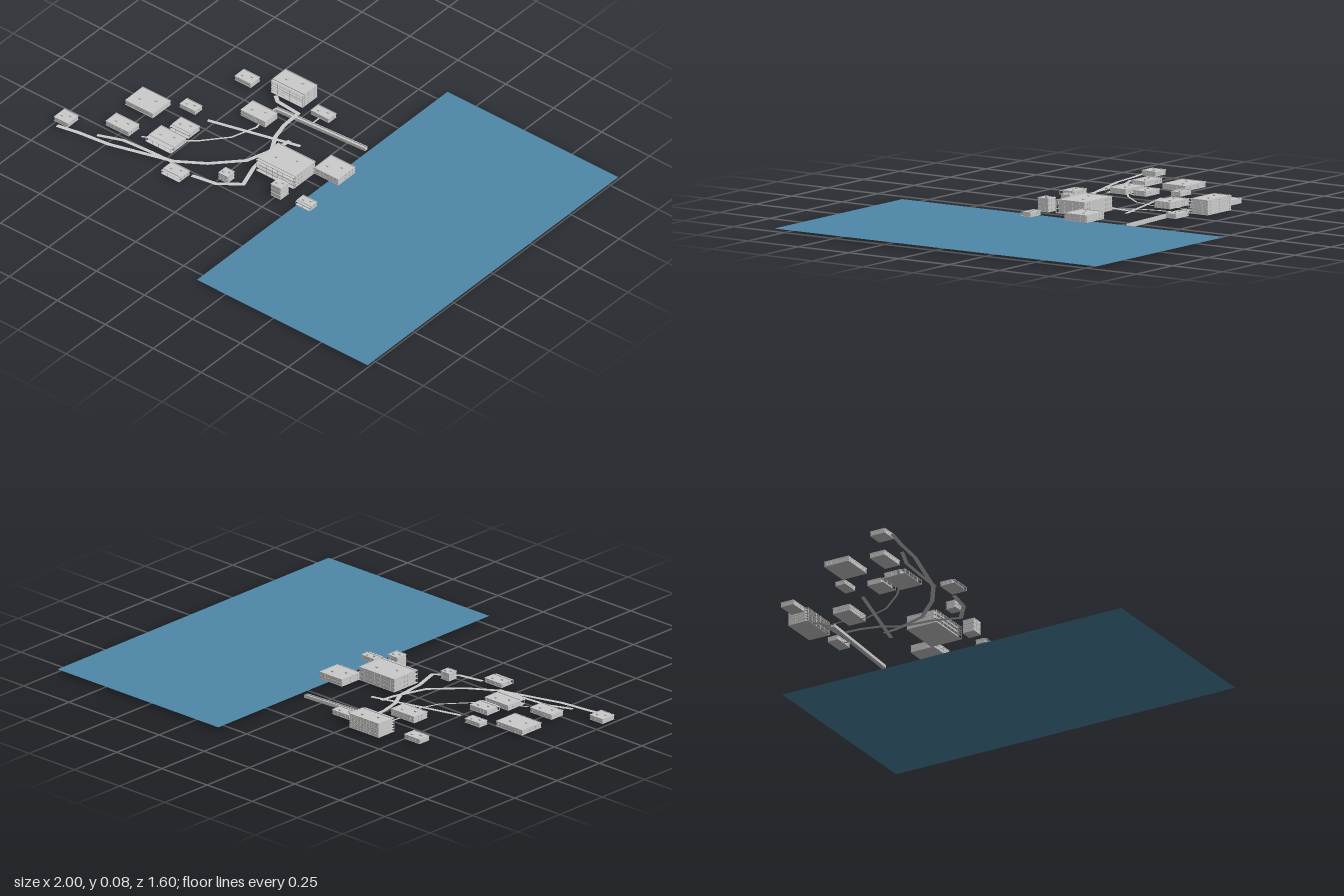
import * as THREE from 'three';
import { mergeGeometries } from 'three/addons/utils/BufferGeometryUtils.js';

const grey = new THREE.MeshStandardMaterial({ color: 0xcccccc, side: THREE.DoubleSide });
const blue = new THREE.MeshStandardMaterial({ color: 0x4f88a9, side: THREE.DoubleSide });
const GROUND = 0.013;

// Box from its lower and upper corners
function box(x0, x1, y0, y1, z0, z1) {
  const g = new THREE.BoxGeometry(x1 - x0, y1 - y0, z1 - z0);
  g.translate((x0 + x1) / 2, (y0 + y1) / 2, (z0 + z1) / 2);
  return g;
}

function part(name, geometries, material = grey) {
  const mesh = new THREE.Mesh(mergeGeometries(geometries), material);
  mesh.name = name;
  return mesh;
}

// Flat strip along a path of [x, z] points, with mitred corners
function ribbon(points, width, y) {
  const path = points.map(([x, z]) => new THREE.Vector2(x, z));
  const pos = [], index = [];
  path.forEach((p, i) => {
    const a = path[Math.max(i - 1, 0)], b = path[Math.min(i + 1, path.length - 1)];
    const u = p.clone().sub(a).normalize(), v = b.clone().sub(p).normalize();
    const t = u.add(v).normalize();
    const along = b.clone().sub(i < path.length - 1 ? p : a).normalize();
    const half = width / 2 / Math.max(0.6, t.dot(along));
    pos.push(p.x - t.y * half, y, p.y + t.x * half, p.x + t.y * half, y, p.y - t.x * half);
    if (i) {
      const k = i * 2;
      index.push(k - 2, k, k - 1, k - 1, k, k + 1);
    }
  });
  const g = new THREE.BufferGeometry();
  g.setAttribute('position', new THREE.Float32BufferAttribute(pos, 3));
  g.setIndex(index);
  g.computeVertexNormals();
  return g;
}

// Flat-roofed building: walls, windows, parapet, roof units and a front gallery
function building({ name, x, z, top, floors = 1, porch = 0 }) {
  const group = new THREE.Group();
  group.name = name;
  const [x0, x1] = x, [z0, zFront] = z;
  const z1 = zFront - porch, w = x1 - x0, d = z1 - z0;
  const roof = top - 0.006, h = (roof - GROUND) / floors, e = 0.0015;
  group.add(part('walls', [box(x0 + e, x1 - e, GROUND, roof, z0 + e, z1 - e)]));

  const windows = [], slabs = [], gallery = [];
  const nx = Math.max(2, Math.round(w / 0.017)), nz = Math.max(2, Math.round(d / 0.02));
  for (let f = 0; f < floors; f++) {
    const y0 = GROUND + h * (f + 0.3), y1 = GROUND + h * (f + 0.78);
    for (let i = 0; i < nx; i++) {
      const c = x0 + w * (i + 0.5) / nx;
      for (const face of [z0 + e, z1 - e])
        windows.push(box(c - 0.0045, c + 0.0045, y0, y1, face - 0.001, face + 0.001));
    }
    for (let i = 0; i < nz; i++) {
      const c = z0 + d * (i + 0.5) / nz;
      for (const face of [x0 + e, x1 - e])
        windows.push(box(face - 0.001, face + 0.001, y0, y1, c - 0.0045, c + 0.0045));
    }
    const y = GROUND + h * f;
    slabs.push(box(x0, x1, y, y + 0.0015, z0, z1));
    if (porch) {
      gallery.push(box(x0, x1, y, y + 0.0015, z1, zFront));
      if (f) gallery.push(box(x0, x1, y + h * 0.4, y + h * 0.4 + 0.001, zFront - 0.001, zFront));
    }
  }
  if (porch) {
    const n = Math.max(2, Math.round(w / 0.03));
    for (let i = 0; i <= n; i++) {
      const c = x0 + 0.001 + (w - 0.002) * i / n;
      gallery.push(box(c - 0.001, c + 0.001, GROUND, roof, zFront - 0.002, zFront));
    }
    gallery.push(box(x0, x1, roof - 0.001, roof, z1, zFront));
    group.add(part('frontGallery', gallery));
  }
  group.add(part('windows', windows), part('floorSlabs', slabs));

  // Roof slab with a low rim
  const rim = roof + 0.003, t = 0.002;
  group.add(part('roofAndParapet', [
    box(x0, x1, roof - 0.001, roof + 0.0005, z0, z1),
    box(x0, x1, roof, rim, z0, z0 + t), box(x0, x1, roof, rim, z1 - t, z1),
    box(x0, x0 + t, roof, rim, z0, z1), box(x1 - t, x1, roof, rim, z0, z1),
  ]));
  const units = [[0.28, 0.6], [0.7, 0.35]].map(([u, v]) => {
    const cx = x0 + w * u, cz = z0 + d * v;
    return box(cx - 0.005, cx + 0.005, roof, top, cz - 0.004, cz + 0.004);
  });
  group.add(part('roofUnits', units));
  return group;
}

export function createModel() {
  const model = new THREE.Group();

  // Open water
  const water = part('water', [new THREE.PlaneGeometry(0.89, 1.6).rotateX(-Math.PI / 2)], blue);
  water.position.set(0.555, 0.012, 0);
  model.add(water);

  // Town buildings
  [
    { name: 'hotel', x: [-0.44, -0.275], z: [-0.44, -0.345], top: 0.078, floors: 5, porch: 0.012 },
    { name: 'northWestHouse', x: [-0.605, -0.52], z: [-0.375, -0.315], top: 0.037 },
    { name: 'northHouse', x: [-0.225, -0.13], z: [-0.385, -0.335], top: 0.036 },
    { name: 'schoolBlock', x: [-0.44, -0.31], z: [-0.23, -0.15], top: 0.044, floors: 2 },
    { name: 'smallWestHouse', x: [-0.663, -0.582], z: [-0.083, -0.035], top: 0.035 },
    { name: 'westHall', x: [-0.845, -0.7], z: [-0.025, 0.09], top: 0.039 },
    { name: 'middleHouse', x: [-0.6, -0.503], z: [0.03, 0.105], top: 0.038, porch: 0.012 },
    { name: 'marketHall', x: [-0.627, -0.495], z: [0.125, 0.225], top: 0.039, porch: 0.02 },
    { name: 'southWestHall', x: [-0.82, -0.7], z: [0.175, 0.245], top: 0.038 },
    { name: 'farWestHouse', x: [-1, -0.927], z: [0.285, 0.355], top: 0.037 },
    { name: 'southHouse', x: [-0.445, -0.35], z: [0.28, 0.35], top: 0.035, porch: 0.012 },
    { name: 'cornerTower', x: [-0.243, -0.195], z: [0.185, 0.232], top: 0.05, floors: 2 },
    { name: 'harbourBlock', x: [-0.16, 0.035], z: [-0.05, 0.092], top: 0.074, floors: 3, porch: 0.012 },
    { name: 'harbourHall', x: [0.035, 0.16], z: [-0.15, -0.04], top: 0.047, floors: 2 },
    { name: 'lookoutTower', x: [-0.013, 0.04], z: [0.125, 0.18], top: 0.073, floors: 3 },
    { name: 'boathouse', x: [0.105, 0.178], z: [0.115, 0.165], top: 0.036, porch: 0.01 },
  ].forEach((b) => model.add(building(b)));

  // Streets and footpaths
  const streets = [
    ['mainStreet', 0.018, [[-0.41, -0.34], [-0.38, -0.315], [-0.265, -0.305], [-0.26, -0.21], [-0.24, -0.13],
      [-0.195, -0.05], [-0.18, 0.08], [-0.142, 0.195], [-0.23, 0.262], [-0.34, 0.282]]],
    ['southRoad', 0.018, [[-0.178, -0.145], [-0.185, -0.08], [-0.23, 0.065], [-0.34, 0.18], [-0.455, 0.255],
      [-0.73, 0.335], [-0.87, 0.352], [-0.97, 0.372]]],
    ['westRoad', 0.016, [[-0.45, 0.262], [-0.56, 0.266], [-0.7, 0.277], [-0.805, 0.318]]],
    ['crossStreet', 0.016, [[-0.52, -0.04], [-0.122, -0.145]]],
    ['footpath', 0.009, [[-0.355, -0.28], [-0.36, -0.235], [-0.338, -0.13], [-0.375, -0.015], [-0.465, 0.09],
      [-0.56, 0.165], [-0.66, 0.212]]],
    ['shortPath', 0.008, [[-0.18, -0.345], [-0.18, -0.295]]],
  ];
  for (const [name, width, points] of streets) model.add(part(name, [ribbon(points, width, 0.0135)]));

  // Canal running to the shore: floor between two walls
  const canal = new THREE.Group();
  canal.name = 'canal';
  const length = 0.45;
  canal.add(part('canalFloor', [box(-length / 2, length / 2, 0, 0.009, -0.008, 0.008)]));
  canal.add(part('canalWalls', [-1, 1].map((s) =>
    box(-length / 2, length / 2, 0, 0.014, s * 0.0075 - 0.0015, s * 0.0075 + 0.0015))));
  canal.position.set(-0.135, 0, -0.293);
  canal.rotation.y = Math.atan2(0.027, length);
  model.add(canal);

  return model;
}
